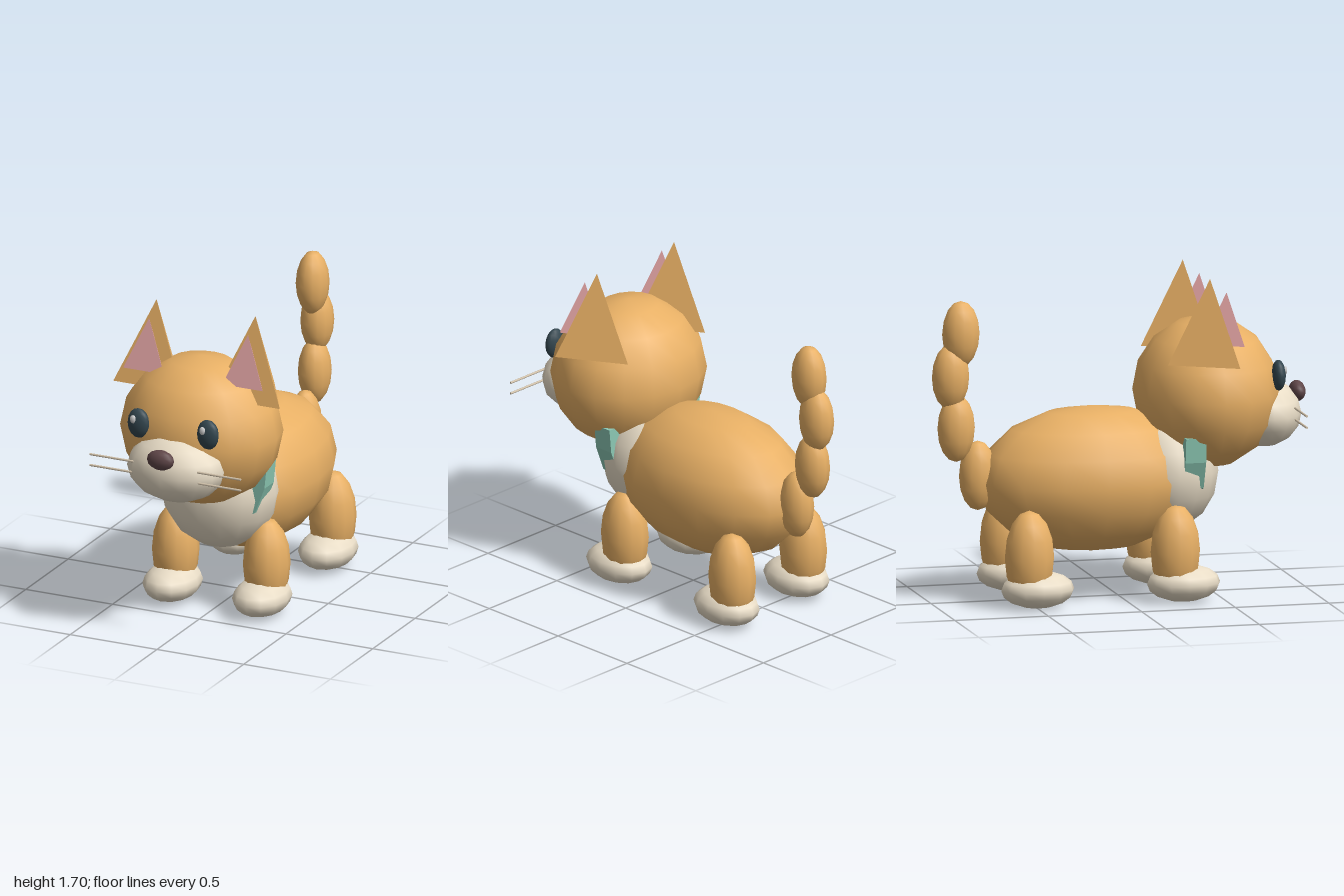
import * as THREE from 'three';

const mat = (color, extra = {}) => new THREE.MeshStandardMaterial({ color, ...extra });

export function createModel() {
  const cat = new THREE.Group();
  cat.name = 'cat';

  const fur = mat(0xe8b065);
  const furFlat = mat(0xe8b065, { flatShading: true });
  const cream = mat(0xe8dcc6);
  const pink = mat(0xe8a8a8, { flatShading: true });
  const dark = mat(0x33464f);
  const noseMat = mat(0x5f4648);
  const white = mat(0xffffff);
  const teal = mat(0x8cc8b4, { flatShading: true });
  const whiskerMat = mat(0xd8c8b0);

  const add = (name, geometry, material, x, y, z) => {
    const mesh = new THREE.Mesh(geometry, material);
    mesh.name = name;
    mesh.position.set(x, y, z);
    cat.add(mesh);
    return mesh;
  };
  // Ellipsoid with a vertical pole axis: centre, then radii
  const blob = (name, material, [x, y, z], [rx, ry, rz], w = 16, h = 8) =>
    add(name, new THREE.SphereGeometry(1, w, h).scale(rx, ry, rz), material, x, y, z);
  // Three-sided pyramid with a flat side facing forward
  const pyramid = (name, material, r, h, x, y, z) =>
    add(name, new THREE.ConeGeometry(r, h, 3).rotateY(Math.PI), material, x, y, z);

  // Torso and head
  blob('body', fur, [0, 0.628, -0.14], [0.382, 0.383, 0.61]);
  blob('chest', cream, [0, 0.66, 0.25], [0.32, 0.325, 0.277]);
  blob('head', fur, [0, 1.057, 0.47], [0.433, 0.398, 0.38]);
  blob('muzzle', cream, [0, 0.937, 0.77], [0.268, 0.18, 0.2]);
  blob('nose', noseMat, [0, 1.037, 0.958], [0.077, 0.054, 0.042], 12, 8);

  // Scarf: a faceted plate, showing only beside the chest
  const half = [[0.335, 0.87], [0.322, 0.74], [0.268, 0.597], [0, 0.45]];
  const outline = [...half, ...half.slice(0, 3).reverse().map(([x, y]) => [-x, y])];
  const scarfShape = new THREE.Shape(outline.map(([x, y]) => new THREE.Vector2(x, y)));
  add('scarf', new THREE.ExtrudeGeometry(scarfShape, { depth: 0.11, bevelEnabled: false }),
    teal, 0, 0, 0.28);

  for (const side of [1, -1]) {
    const label = side > 0 ? 'left' : 'right';

    // Ears
    pyramid(label + 'Ear', furFlat, 0.225, 0.445, side * 0.285, 1.4775, 0.42);
    pyramid(label + 'InnerEar', pink, 0.135, 0.27, side * 0.285, 1.49, 0.508);

    // Eyes, with both highlights on the same side
    blob(label + 'Eye', dark, [side * 0.2, 1.16, 0.808], [0.062, 0.081, 0.036], 12, 8);
    blob(label + 'EyeHighlight', white, [side * 0.2 - 0.017, 1.187, 0.838], [0.018, 0.023, 0.012], 8, 6);

    // Whiskers
    for (const y of [0.98, 0.92]) {
      const whisker = new THREE.CylinderGeometry(0.006, 0.006, 0.25, 6).rotateZ(Math.PI / 2);
      add(label + 'Whisker', whisker, whiskerMat, side * 0.31, y, 0.9);
    }

    // Legs and paws
    for (const [end, z] of [['Front', 0.285], ['Back', -0.495]]) {
      blob(label + end + 'Leg', fur, [side * 0.262, 0.272, z - 0.045], [0.122, 0.247, 0.132], 12);
      blob(label + end + 'Paw', cream, [side * 0.258, 0.102, z], [0.147, 0.098, 0.195], 12);
    }
  }

  // Tail: a chain of overlapping segments, as height, depth and half height
  const tail = [[0.668, -0.75, 0.183], [0.922, -0.865, 0.178], [1.192, -0.895, 0.172], [1.417, -0.84, 0.173]];
  tail.forEach(([y, z, ry], i) =>
    blob('tailSegment' + (i + 1), fur, [0, y, z], [0.085, ry, 0.1], 12));

  return cat;
}
